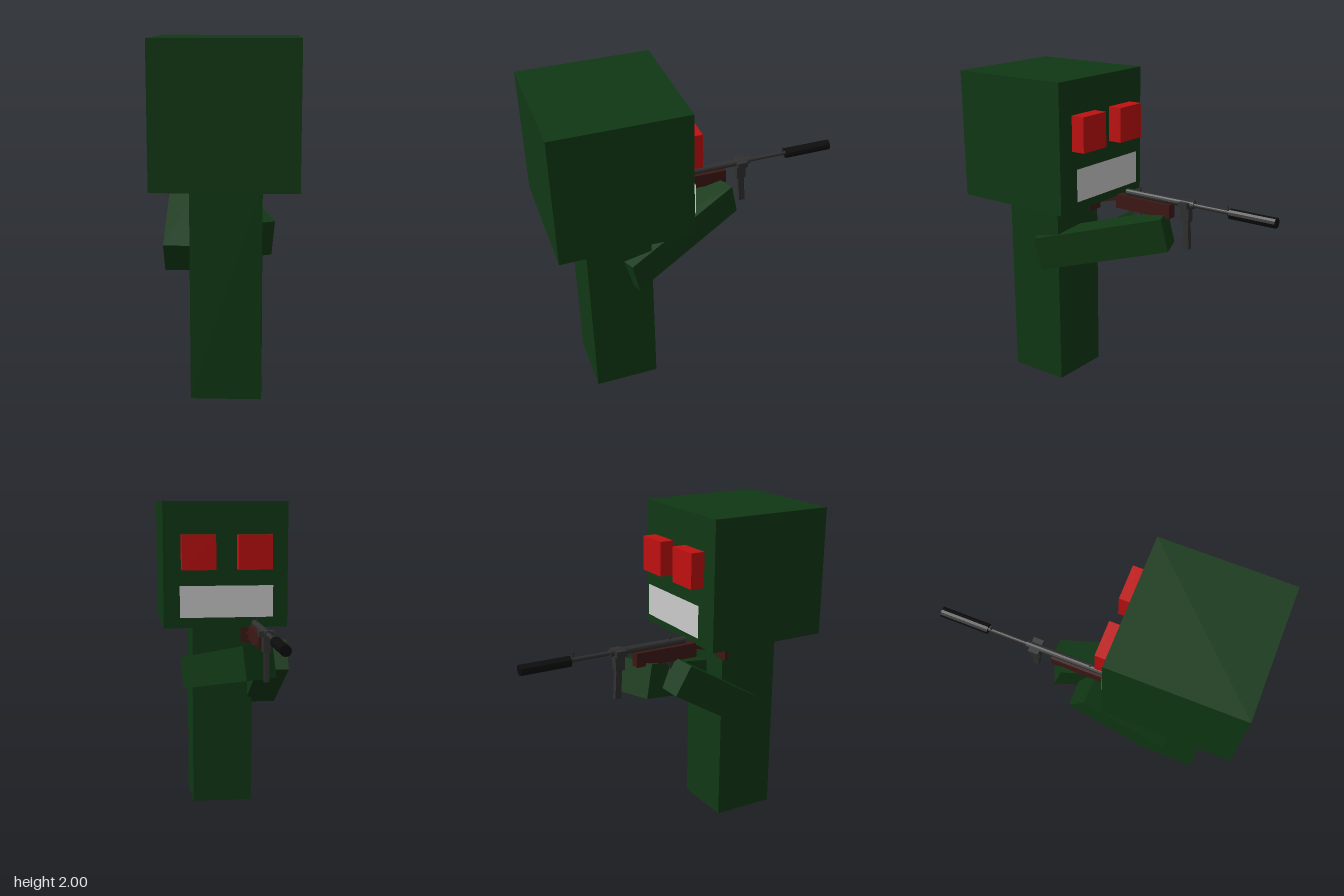
import * as THREE from 'three';

const material = (color) => new THREE.MeshStandardMaterial({ color, flatShading: true });

export function createModel() {
  const model = new THREE.Group();
  model.name = 'blockFigure';
  const green = material(0x103814);
  const red = material(0xc01010);
  const wood = material(0x3c1814);
  const metal = material(0x303030);
  const black = material(0x0c0c0c);
  const pale = material(0xcccccc);
  pale.side = THREE.DoubleSide;

  const add = (parent, name, geometry, mat, x, y, z) => {
    const mesh = new THREE.Mesh(geometry, mat);
    mesh.name = name;
    mesh.position.set(x, y, z);
    parent.add(mesh);
    return mesh;
  };
  const box = (parent, name, mat, w, h, d, x, y, z) =>
    add(parent, name, new THREE.BoxGeometry(w, h, d), mat, x, y, z);
  // Cylinder lying along z
  const rod = (parent, name, mat, radius, length, x, y, z) =>
    add(parent, name, new THREE.CylinderGeometry(radius, radius, length, 12).rotateX(Math.PI / 2), mat, x, y, z);

  // Body and head
  box(model, 'body', green, 0.395, 1.21, 0.395, 0, 0.605, 0.567);
  box(model, 'head', green, 0.79, 0.79, 0.79, 0, 1.605, 0.563);

  // Face, looking toward -z
  for (const [side, name] of [[1, 'leftEye'], [-1, 'rightEye']]) {
    box(model, name, red, 0.213, 0.215, 0.1, side * 0.177, 1.688, 0.13);
  }
  add(model, 'mouth', new THREE.PlaneGeometry(0.59, 0.2).rotateY(Math.PI), pale, 0, 1.38, 0.125);

  // Arm reaching across the chest
  const leftArm = box(model, 'leftArm', green, 0.21, 0.21, 0.837, 0.003, 0.957, 0.155);
  leftArm.rotation.set(0.228, 0.402, 0, 'YXZ');

  // Arm raised to the grip
  const rightArm = box(model, 'rightArm', green, 0.2, 0.2, 0.61, -0.265, 0.902, 0.25);
  rightArm.rotation.x = 0.54;

  // Gun, pointing toward -z
  const gun = new THREE.Group();
  gun.name = 'gun';
  gun.position.x = -0.175;
  model.add(gun);
  rod(gun, 'receiver', metal, 0.022, 0.505, 0, 1.243, -0.148);
  rod(gun, 'barrel', metal, 0.013, 0.26, 0, 1.243, -0.525);
  rod(gun, 'silencer', black, 0.032, 0.305, 0, 1.238, -0.803);
  box(gun, 'woodBody', wood, 0.06, 0.088, 0.41, 0, 1.176, -0.03);
  box(gun, 'magazineHousing', metal, 0.095, 0.035, 0.065, 0, 1.24, -0.342);
  box(gun, 'magazineWell', metal, 0.045, 0.125, 0.06, 0, 1.195, -0.342);
  box(gun, 'magazine', metal, 0.03, 0.19, 0.038, 0, 1.05, -0.35).rotation.x = 0.05;
  for (const [name, z] of [['rearSight', 0.005], ['frontSight', -0.632]]) {
    box(gun, name, metal, 0.01, 0.045, 0.01, 0, 1.268, z);
  }
  const grip = box(gun, 'grip', metal, 0.035, 0.1, 0.05, 0, 1.1, 0.02);
  grip.rotation.x = -0.3;

  // Shoulder stock: slanted strut and butt plate
  const strut = box(gun, 'stockStrut', wood, 0.03, 0.02, 0.22, 0, 1.163, 0.27);
  strut.rotation.x = 0.27;
  box(gun, 'buttPlate', wood, 0.11, 0.12, 0.025, 0, 1.14, 0.378);

  return model;
}
